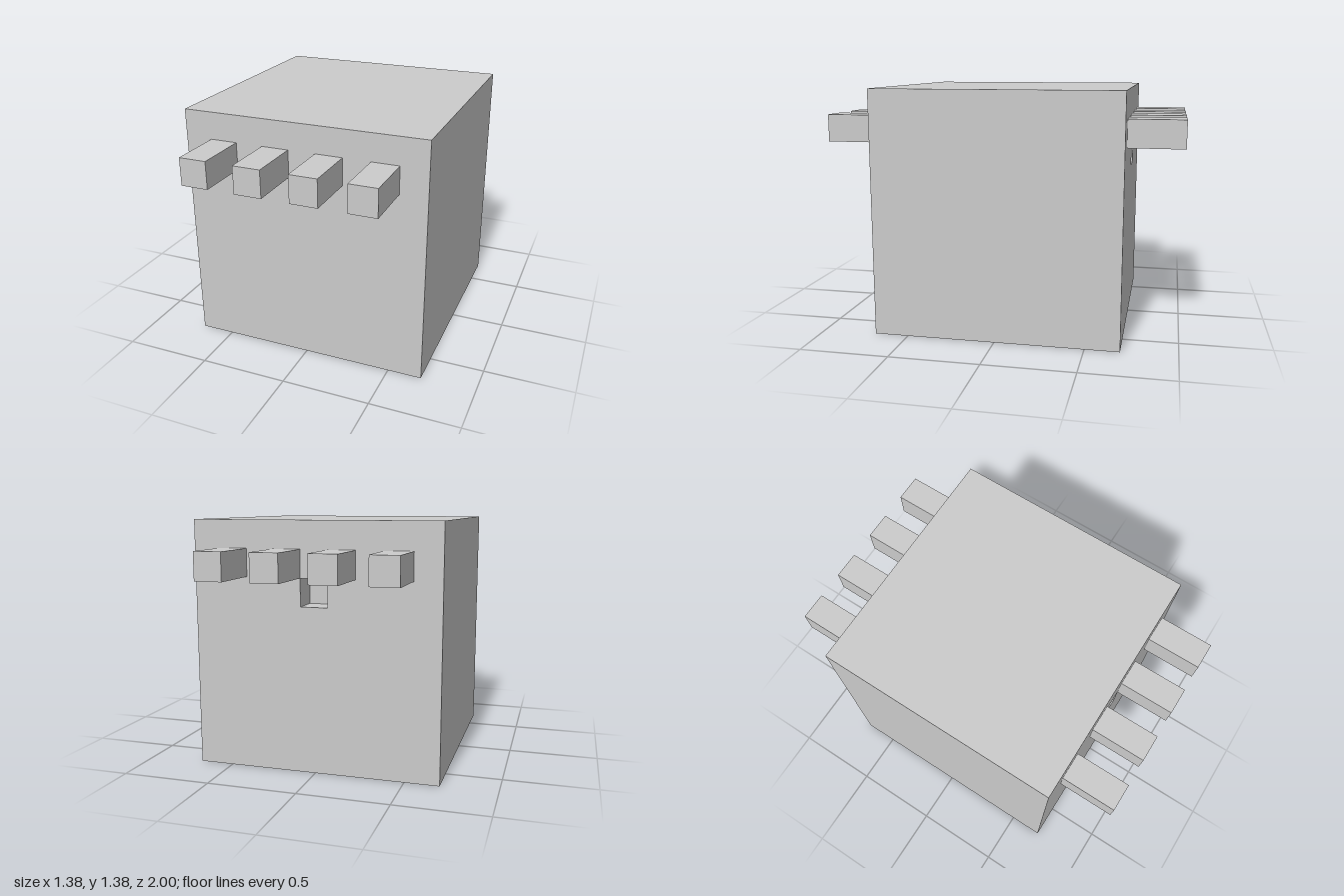
import * as THREE from 'three';

// The whole model sits on a grid of equal cells: 9 x 9 x 9 body, 2-cell pegs front and back.
const U = 2 / 13;
const HALF = 4.5 * U;

const grey = new THREE.MeshStandardMaterial({ color: 0xcccccc });
const greyDouble = new THREE.MeshStandardMaterial({ color: 0xcccccc, side: THREE.DoubleSide });

function addMesh(parent, name, geometry, material, x, y, z) {
  const mesh = new THREE.Mesh(geometry, material);
  mesh.name = name;
  mesh.position.set(x, y, z);
  parent.add(mesh);
  return mesh;
}

// Box keeping only some sides, in the order +x, -x, +y, -y, +z, -z
function openBox(w, h, d, sides) {
  const g = new THREE.BoxGeometry(w, h, d);
  const index = Array.from(g.index.array);
  g.setIndex(sides.flatMap((s) => index.slice(s * 6, s * 6 + 6)));
  g.clearGroups();
  return g;
}

// Square outline centred on x = 0
function square(path, half, bottom, top) {
  path.moveTo(-half, bottom);
  path.lineTo(half, bottom);
  path.lineTo(half, top);
  path.lineTo(-half, top);
  path.closePath();
  return path;
}

// Front wall with a square recess below a row of four pegs
function createFace(name) {
  const face = new THREE.Group();
  face.name = name;

  const wall = square(new THREE.Shape(), HALF, 0, 9 * U);
  wall.holes.push(square(new THREE.Path(), U / 2, 6 * U, 7 * U));
  addMesh(face, 'wall', new THREE.ShapeGeometry(wall), grey, 0, 0, HALF);

  // Recess one cell deep, open towards the outside
  addMesh(face, 'recess', openBox(U, U, U, [0, 1, 2, 3, 5]), greyDouble, 0, 6.5 * U, HALF - U / 2);

  for (const x of [-3, -1, 1, 3]) {
    addMesh(face, 'peg', new THREE.BoxGeometry(U, U, 2 * U), grey, x * U, 7.5 * U, HALF + U);
  }
  return face;
}

export function createModel() {
  const model = new THREE.Group();
  model.name = 'peggedCube';

  // Sides, top and bottom of the cube
  addMesh(model, 'body', openBox(9 * U, 9 * U, 9 * U, [0, 1, 2, 3]), grey, 0, HALF, 0);

  // Matching front and back
  const front = createFace('front');
  const back = createFace('back');
  back.rotation.y = Math.PI;
  model.add(front, back);
  return model;
}
